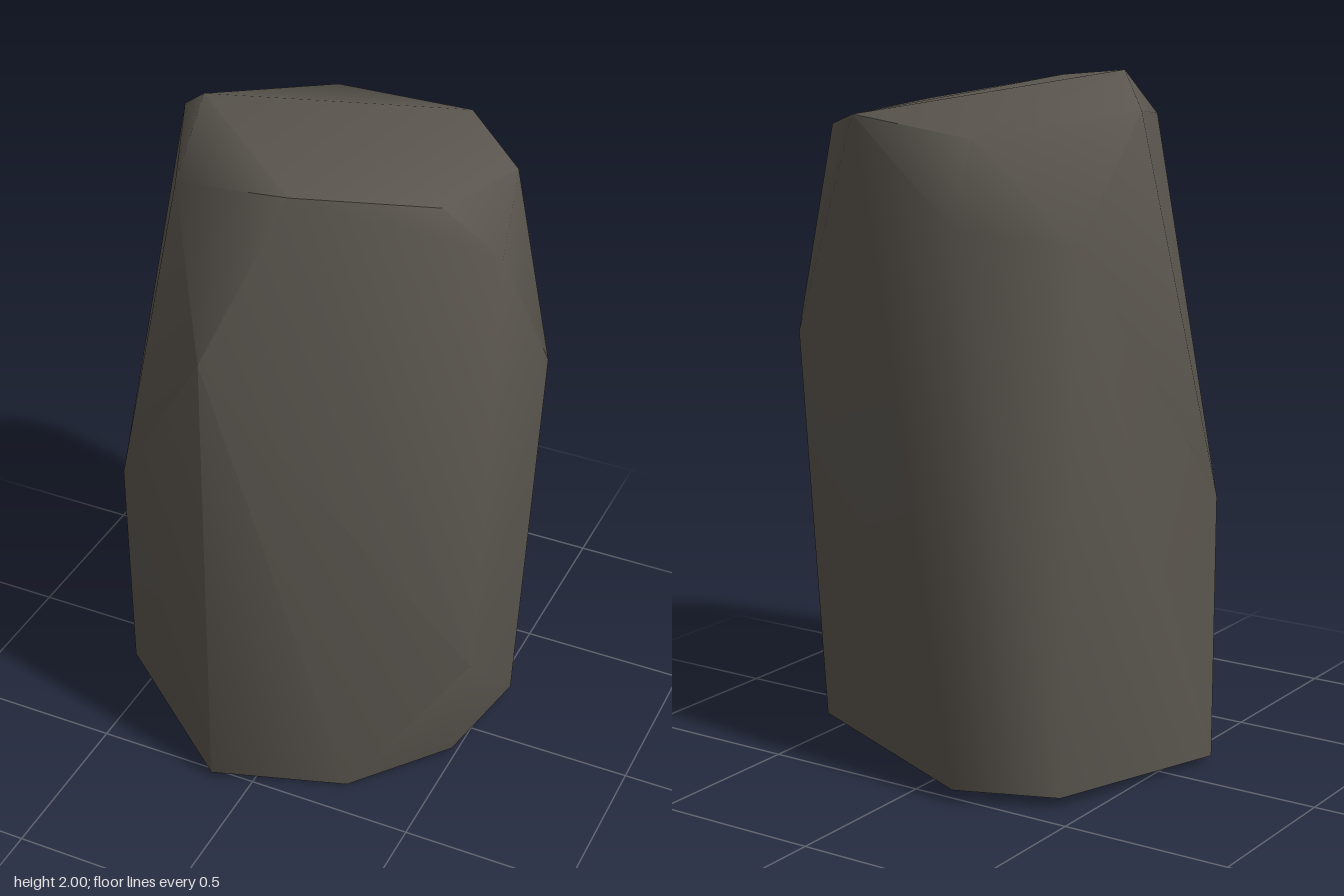
import * as THREE from 'three';
import { ConvexGeometry } from 'three/addons/geometries/ConvexGeometry.js';
import { toCreasedNormals } from 'three/addons/utils/BufferGeometryUtils.js';

// Corner points of the boulder, ring by ring from the ground up
const base = [
  [0.55, 0.03, -0.2], [0.49, 0.02, 0.13], [0.26, 0, 0.39], [-0.12, 0.02, 0.535],
  [-0.59, 0.02, 0.15], [-0.42, 0.03, -0.4], [-0.15, 0.04, -0.535],
];
const flanks = [
  [0.585, 1.22, -0.26], [0.575, 0.45, 0.23], [-0.12, 1.47, 0.53],
  [-0.56, 0.78, 0.21], [-0.45, 1.56, -0.37], [-0.16, 1.6, -0.525],
];
const crown = [
  [0.555, 1.72, 0.07], [0.48, 1.83, -0.22], [0.41, 1.88, 0.15], [0.08, 1.95, 0.385],
  [-0.3, 1.86, 0.29], [-0.34, 2, 0.04], [-0.455, 1.9, -0.06],
  [-0.17, 1.84, -0.46], [0.27, 1.88, -0.4],
];

export function createModel() {
  const model = new THREE.Group();
  model.name = 'standingRock';

  const stone = new THREE.MeshStandardMaterial({ color: 0x5a554e });
  stone.name = 'dark stone';

  // Faceted hull, softened except across the sharpest corners
  const points = [...base, ...flanks, ...crown].map((p) => new THREE.Vector3(...p));
  const hull = new ConvexGeometry(points);
  const rock = new THREE.Mesh(toCreasedNormals(hull, THREE.MathUtils.degToRad(60)), stone);
  rock.name = 'rock';
  model.add(rock);

  return model;
}
